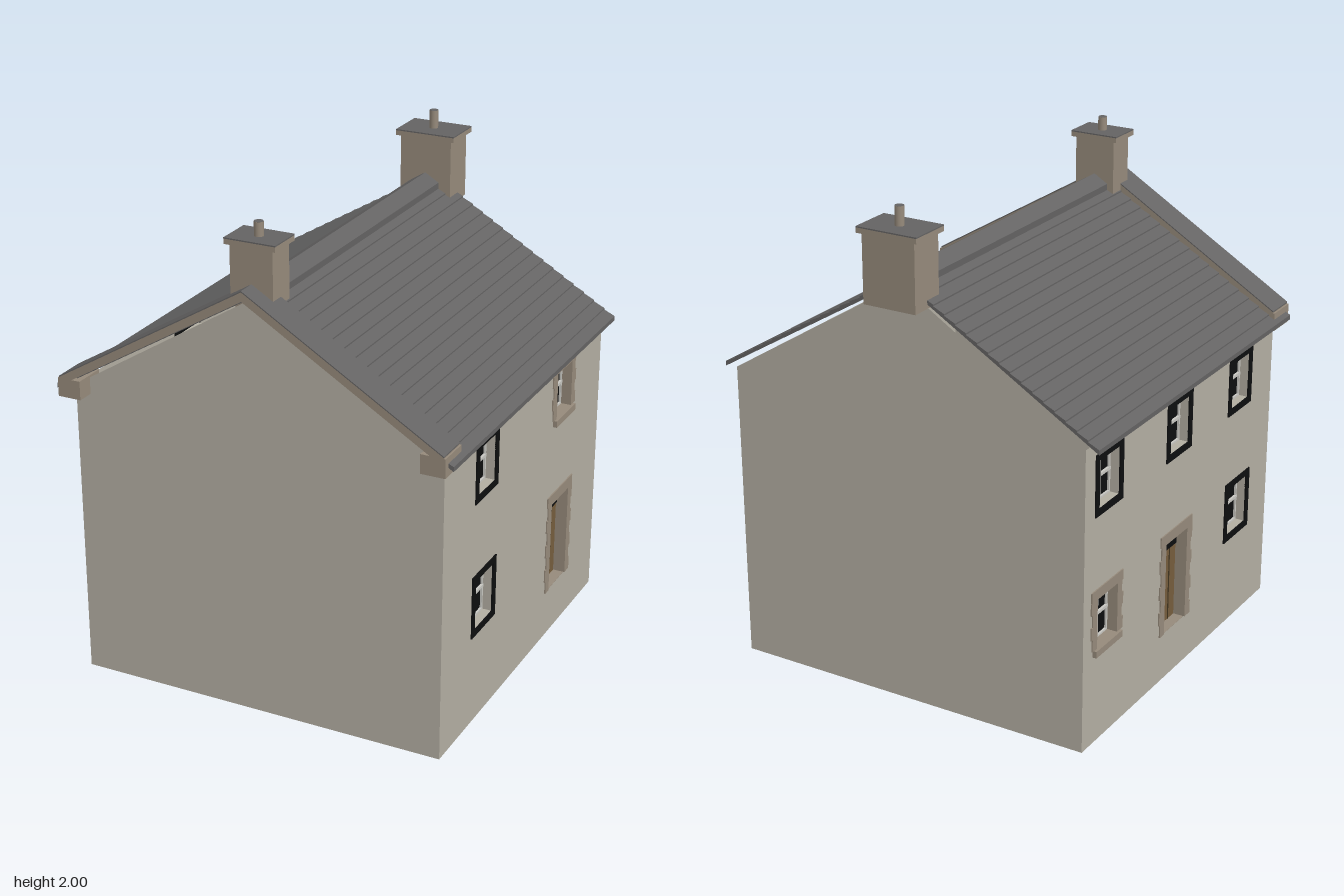
import * as THREE from 'three';

const mat = (name, color, side = THREE.FrontSide) => {
  const m = new THREE.MeshStandardMaterial({ color, side });
  m.name = name;
  return m;
};

export function createModel() {
  const render = mat('wallRender', 0xb3aea2, THREE.DoubleSide);
  const slate = mat('slate', 0x646363);
  const stone = mat('stone', 0x968a7b);
  const black = mat('black', 0x0d0e0f);
  const paint = mat('palePaint', 0xc8c7c2);
  const timber = mat('doorTimber', 0x755d3d);
  const groove = mat('doorGroove', 0x453722);

  const house = new THREE.Group();
  house.name = 'cottage';

  const add = (parent, name, geo, material, x = 0, y = 0, z = 0) => {
    const m = new THREE.Mesh(geo, material);
    m.name = name;
    m.position.set(x, y, z);
    parent.add(m);
    return m;
  };
  // Box given by its limits
  const block = (parent, name, material, x0, x1, y0, y1, z0, z1) =>
    add(parent, name, new THREE.BoxGeometry(x1 - x0, y1 - y0, z1 - z0), material,
      (x0 + x1) / 2, (y0 + y1) / 2, (z0 + z1) / 2);
  const poly = pts => new THREE.Shape(pts.map(p => new THREE.Vector2(...p)));
  const rect = (x0, x1, y0, y1) => poly([[x0, y0], [x1, y0], [x1, y1], [x0, y1]]);
  const extrude = (parent, name, shape, material, z0, z1) =>
    add(parent, name, new THREE.ExtrudeGeometry(shape, { depth: z1 - z0, bevelEnabled: false }), material, 0, 0, z0);
  // Rectangular ring: opening o = [x0, x1, y0, y1] surrounded by a border
  const ring = (parent, name, material, [x0, x1, y0, y1], b, z0, z1) => {
    const s = rect(x0 - b, x1 + b, y0 - b, y1 + b);
    s.holes.push(rect(x0, x1, y0, y1));
    return extrude(parent, name, s, material, z0, z1);
  };

  const DEPTH = 0.045;

  // Irregular jamb stones and lintel round an opening
  function stoneSurround(g, [x0, x1, y0, y1], top, rows) {
    const h = (y1 - y0) / rows;
    for (let i = 0; i < rows; i++) {
      for (const s of [0, 1]) {
        const w = (i + s) % 2 ? 0.044 : 0.034;
        const a = s ? x1 : x0 - w;
        block(g, 'jambStone', stone, a, a + w, y0 + i * h, y0 + (i + 1) * h, -0.002, 0.005);
      }
    }
    block(g, 'lintelStone', stone, x0 - 0.042, x1 + 0.042, y1, top, -0.002, 0.005);
  }

  // Sash window with four panes, set back in the wall
  function sash(g, o) {
    const [x0, x1, y0, y1] = o, c = (x0 + x1) / 2, m = (y0 + y1) / 2;
    block(g, 'glass', black, x0, x1, y0, y1, -DEPTH - 0.008, -DEPTH);
    const z0 = -DEPTH, z1 = -DEPTH + 0.008, t = 0.008;
    ring(g, 'sashFrame', paint, [x0 + t, x1 - t, y0 + t, y1 - t], t, z0, z1);
    block(g, 'glazingBar', paint, c - 0.004, c + 0.004, y0, y1, z0, z1);
    block(g, 'meetingRail', paint, x0, x1, m - 0.006, m + 0.006, z0, z1 + 0.002);
  }

  function plainWindow(wall, u, y0, y1, w) {
    const g = new THREE.Group();
    g.name = 'blackFramedWindow';
    wall.add(g);
    const b = 0.026;
    const o = [u - w / 2 + b, u + w / 2 - b, y0 + b, y1 - b];
    ring(g, 'blackBorder', black, o, b, -0.002, 0.005);
    ring(g, 'reveal', render, o, 0.004, -DEPTH, -0.001);
    sash(g, o);
    return o;
  }

  function stoneWindow(wall, u, y0, y1) {
    const g = new THREE.Group();
    g.name = 'stoneWindow';
    wall.add(g);
    const o = [u - 0.076, u + 0.076, y0 + 0.025, y1 - 0.042];
    ring(g, 'reveal', stone, o, 0.004, -DEPTH, -0.001);
    stoneSurround(g, o, y1, 4);
    block(g, 'sill', stone, u - 0.1, u + 0.1, y0 - 0.002, y0 + 0.025, -DEPTH, 0.016);
    sash(g, o);
    return o;
  }

  function doorway(wall, u) {
    const g = new THREE.Group();
    g.name = 'doorway';
    wall.add(g);
    const o = [u - 0.088, u + 0.088, 0.2, 0.59];
    ring(g, 'reveal', stone, o, 0.004, -DEPTH, -0.001);
    stoneSurround(g, o, 0.635, 7);
    block(g, 'door', timber, o[0], o[1], 0.2, 0.515, -DEPTH - 0.01, -DEPTH);
    block(g, 'transomLight', black, o[0], o[1], 0.515, 0.59, -DEPTH - 0.01, -DEPTH + 0.004);
    for (const d of [-0.036, 0, 0.036])
      block(g, 'plankGroove', groove, u + d - 0.003, u + d + 0.003, 0.2, 0.515, -DEPTH, -DEPTH + 0.002);
    return o;
  }

  // Long wall pierced by its openings; local x runs along the wall, local z points outward
  function longWall(name, side, u0, u1, fill) {
    const wall = new THREE.Group();
    wall.name = name;
    wall.position.x = side * 0.768;
    wall.rotation.y = side * Math.PI / 2;
    house.add(wall);
    const s = rect(u0, u1, 0, 1.228);
    for (const o of fill(wall)) s.holes.push(rect(...o));
    add(wall, 'wallFace', new THREE.ShapeGeometry(s), render);
  }
  longWall('leftWall', 1, -0.785, 0.765, w => [
    plainWindow(w, -0.403, 0.935, 1.18, 0.205),
    plainWindow(w, -0.405, 0.375, 0.635, 0.22),
    stoneWindow(w, 0.358, 0.94, 1.2),
    doorway(w, 0.358),
  ]);
  longWall('rightWall', -1, -0.765, 0.785, w => [
    plainWindow(w, -0.59, 0.935, 1.18, 0.205),
    plainWindow(w, -0.038, 0.935, 1.18, 0.205),
    plainWindow(w, 0.49, 0.935, 1.18, 0.205),
    plainWindow(w, 0.5, 0.375, 0.635, 0.22),
    stoneWindow(w, -0.592, 0.37, 0.64),
    doorway(w, -0.038),
  ]);

  // Gable walls
  const gable = poly([[-0.768, 0], [0.768, 0], [0.768, 1.228], [0, 1.705], [-0.768, 1.228]]);
  add(house, 'frontGable', new THREE.ShapeGeometry(gable), render, 0, 0, 0.785);
  add(house, 'backGable', new THREE.ShapeGeometry(gable), render, 0, 0, -0.765).rotation.y = Math.PI;

  // Slate roof: stepped courses down each slope
  const PITCH = 0.6, COURSES = 18, HALF = 0.822;
  const right = [];
  for (let i = 0; i < COURSES; i++) {
    const a = i * HALF / COURSES, b = (i + 1) * HALF / COURSES;
    right.push([a, 1.727 - PITCH * a], [b, 1.733 - PITCH * b]);
  }
  right.push([HALF, 1.714 - PITCH * HALF]);
  const left = right.slice(1).reverse().map(([x, y]) => [-x, y]);
  extrude(house, 'slateRoof', poly([...right, [0, 1.714], ...left]), slate, -0.765, 0.83);

  // Inverted V strip following the roof pitch
  const chevron = (name, material, w, low, high, z0, z1) => extrude(house, name, poly([
    [0, high], [-w, high - PITCH * w], [-w, low - PITCH * w],
    [0, low], [w, low - PITCH * w], [w, high - PITCH * w]]), material, z0, z1);
  chevron('ridgeTiles', slate, 0.06, 1.728, 1.755, -0.765, 0.72);
  chevron('gableCoping', stone, 0.795, 1.72, 1.756, 0.72, 0.855);
  chevron('copingTop', slate, 0.795, 1.756, 1.761, 0.72, 0.855);

  // Kneeler stones at the foot of the coping
  for (const s of [-1, 1])
    add(house, 'kneeler', new THREE.BoxGeometry(0.097, 0.076, 0.135), stone, s * 0.753, 1.238, 0.7875);

  // Chimneys
  function chimney(name, w, z0, z1, base, potZ, potTop) {
    const g = new THREE.Group();
    g.name = name;
    house.add(g);
    block(g, 'stack', stone, -w, w, base, 1.9, z0, z1);
    block(g, 'cap', stone, -w - 0.017, w + 0.017, 1.9, 1.92, z0 - 0.012, z1 + 0.012);
    block(g, 'capTop', slate, -w - 0.017, w + 0.017, 1.92, 1.925, z0 - 0.012, z1 + 0.012);
    add(g, 'pot', new THREE.CylinderGeometry(0.018, 0.018, potTop - 1.92, 16), stone, 0, (potTop + 1.92) / 2, potZ);
    add(g, 'potTop', new THREE.CylinderGeometry(0.0175, 0.0175, 0.002, 16), slate, 0, potTop - 0.0005, potZ);
  }
  chimney('frontChimney', 0.087, 0.655, 0.778, 1.665, 0.717, 1.98);
  chimney('backChimney', 0.112, -0.842, -0.688, 1.63, -0.765, 1.9995);

  return house;
}
